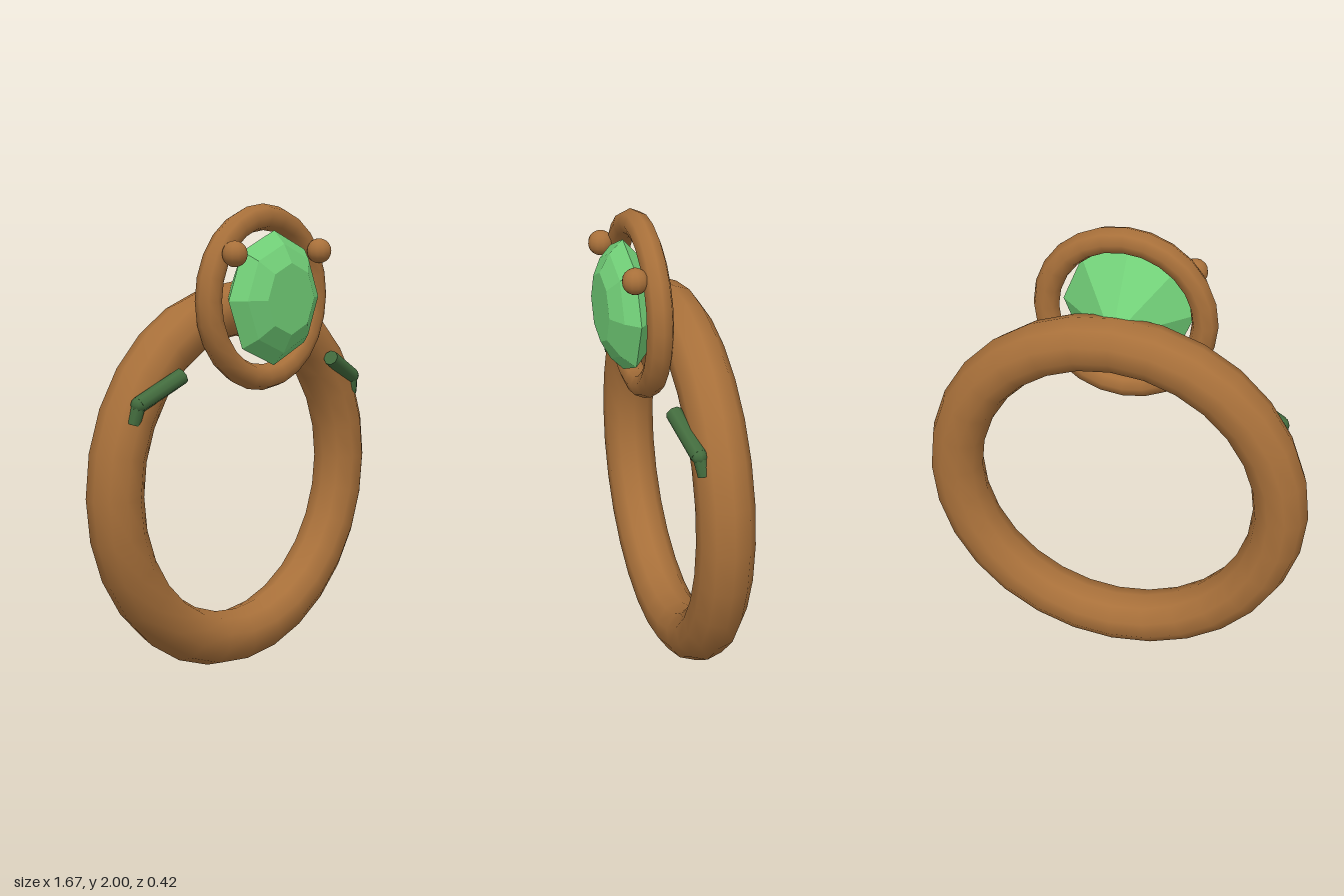
import * as THREE from 'three';

const gold = new THREE.MeshStandardMaterial({ color: 0xa8703a });
gold.name = 'bronze gold';
const gemGreen = new THREE.MeshStandardMaterial({ color: 0x72d078, flatShading: true });
gemGreen.name = 'gem green';
const darkGreen = new THREE.MeshStandardMaterial({ color: 0x436c3e });
darkGreen.name = 'dark green';

function add(parent, name, geometry, material, x = 0, y = 0, z = 0) {
  const mesh = new THREE.Mesh(geometry, material);
  mesh.name = name;
  mesh.position.set(x, y, z);
  parent.add(mesh);
  return mesh;
}

// Capped rod between two points
function rod(parent, name, a, b, radius, material) {
  const dir = b.clone().sub(a);
  const mid = a.clone().add(b).multiplyScalar(0.5);
  const mesh = add(parent, name, new THREE.CylinderGeometry(radius, radius, dir.length(), 8), material, mid.x, mid.y, mid.z);
  mesh.quaternion.setFromUnitVectors(new THREE.Vector3(0, 1, 0), dir.normalize());
}

export function createModel() {
  const ring = new THREE.Group();
  ring.name = 'gemRing';

  // Finger band
  add(ring, 'band', new THREE.TorusGeometry(0.718, 0.117, 10, 28), gold, 0, 0.84, -0.1);

  // Round setting around the gem
  add(ring, 'bezel', new THREE.TorusGeometry(0.335, 0.055, 8, 24), gold, 0, 1.61, 0.055);

  // Cut gem: pointed back, girdle, two crown steps and a flat table
  const profile = [[0, -0.145], [0.28, 0.115], [0.225, 0.17], [0.148, 0.212], [0, 0.212]]
    .map(([r, h]) => new THREE.Vector2(r, h));
  const gem = new THREE.LatheGeometry(profile, 8);
  gem.rotateX(Math.PI / 2);
  add(ring, 'gem', gem, gemGreen, 0, 1.61, 0);

  for (const side of [-1, 1]) {
    const label = side > 0 ? 'left' : 'right';

    // Bead on the setting
    add(ring, `${label}Bead`, new THREE.SphereGeometry(0.053, 12, 10), gold, side * 0.268, 1.8, 0.138);

    // Bent vine on the shoulder of the band
    const vine = new THREE.Group();
    vine.name = `${label}Vine`;
    const tip = new THREE.Vector3(side * 0.475, 1.32, 0.042);
    const bend = new THREE.Vector3(side * 0.68, 1.22, 0.003);
    const end = new THREE.Vector3(side * 0.695, 1.143, -0.014);
    rod(vine, 'vineStem', tip, bend, 0.034, darkGreen);
    rod(vine, 'vineEnd', bend, end, 0.028, darkGreen);
    add(vine, 'vineJoint', new THREE.SphereGeometry(0.033, 8, 6), darkGreen, bend.x, bend.y, bend.z);
    ring.add(vine);
  }
  return ring;
}
